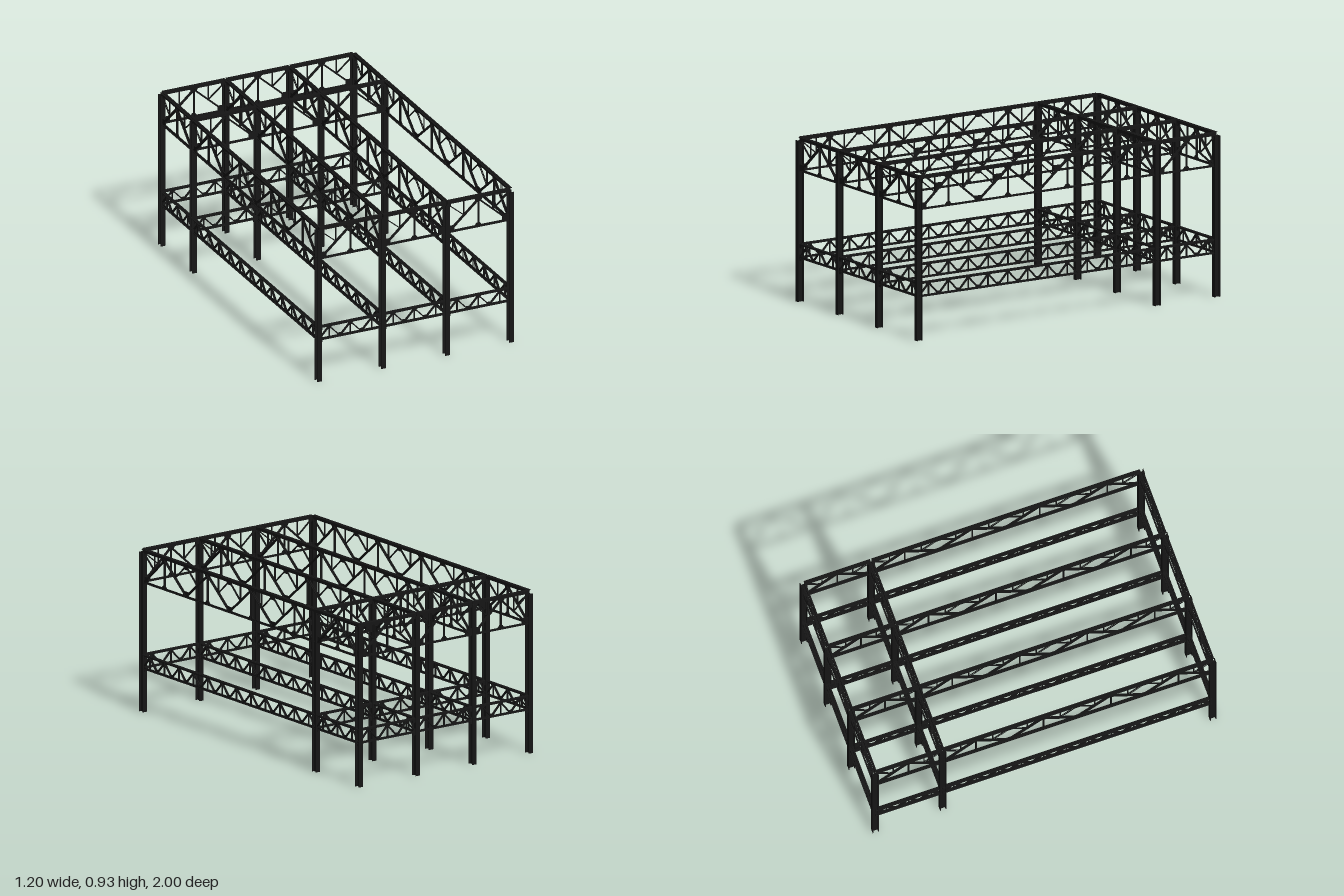
import * as THREE from 'three';
import { mergeGeometries } from 'three/addons/utils/BufferGeometryUtils.js';

const steel = new THREE.MeshStandardMaterial({ color: 0x161616 });
const COLUMN_X = [-0.585, -0.195, 0.195, 0.585];
const COLUMN_Z = [0.9815, -0.5885, -0.981];
const COLUMN_H = 0.906;
const GAP = 0.003; // slot between paired angles, filled by the gusset plates

const polygon = (pts) => new THREE.Shape(pts.map(([x, y]) => new THREE.Vector2(x, y)));
const extrude = (shapes, depth) =>
  new THREE.ExtrudeGeometry(shapes, { depth, bevelEnabled: false, steps: 1 });

// Pair of back-to-back angles running from a to b in the truss plane
function member(a, b, height, width) {
  const t = 0.0025, g = GAP / 2, h = height / 2, w = width / 2;
  const right = [[g, -h], [g + t, -h], [g + t, h - t], [w, h - t], [w, h], [g, h]];
  const left = right.map(([x, y]) => [-x, y]).reverse();
  const dir = new THREE.Vector3(b[0] - a[0], b[1] - a[1], 0);
  const geo = extrude([polygon(right), polygon(left)], dir.length());
  dir.normalize();
  const side = new THREE.Vector3(0, 0, 1);
  const basis = new THREE.Matrix4().makeBasis(side, dir.clone().cross(side), dir);
  return geo.applyMatrix4(basis.setPosition(a[0], a[1], 0));
}

// Flat gusset plate, tapering from its bottom width to its top width
function plate(x, y0, y1, bottom, top) {
  const pts = [[x - bottom / 2, y0], [x + bottom / 2, y0], [x + top / 2, y1], [x - top / 2, y1]];
  return extrude(polygon(pts), 0.006).translate(0, 0, -0.003);
}

// Deep roof truss: one inverted V per bay with secondary struts
function roofTruss(bays, pitch) {
  const length = bays * pitch, parts = [];
  parts.push(member([length - 0.004, 0.915], [0.004, 0.915], 0.02, 0.024)); // top chord
  parts.push(member([0.01, 0.738], [length - 0.01, 0.738], 0.009, 0.02)); // bottom chord
  for (let i = 0; i < bays; i++) {
    const mid = (i + 0.5) * pitch;
    parts.push(member([mid, 0.738], [mid, 0.906], 0.007, 0.014));
    parts.push(plate(mid, 0.889, 0.907, 0.03, 0.052));
    parts.push(plate(mid, 0.736, 0.757, 0.052, 0.018));
    for (const s of [-1, 1]) {
      const atColumn = s < 0 ? i === 0 : i === bays - 1;
      const foot = mid + s * (pitch / 2 - (atColumn ? 0.018 : 0.004));
      const quarter = (mid + foot) / 2;
      parts.push(member([foot, 0.742], [mid, 0.9], 0.009, 0.016));
      parts.push(member([quarter, 0.821], [quarter, 0.906], 0.005, 0.01));
      parts.push(member([quarter, 0.821], [mid + s * (pitch / 2 - 0.012), 0.9], 0.005, 0.01));
    }
  }
  for (let i = 0; i <= bays; i++) {
    const x = i * pitch;
    if (i === 0 || i === bays) {
      const s = i === 0 ? 1 : -1; // plates bolted to the columns
      parts.push(plate(x + s * 0.026, 0.733, 0.771, 0.046, 0.046));
      parts.push(plate(x + s * 0.015, 0.89, 0.906, 0.024, 0.024));
    } else {
      parts.push(plate(x, 0.733, 0.766, 0.046, 0.046));
      parts.push(plate(x, 0.89, 0.906, 0.03, 0.044));
    }
  }
  return mergeGeometries(parts);
}

// Shallow floor truss: three small panels per bay
function floorTruss(bays, pitch) {
  const length = bays * pitch, panels = bays * 3, step = length / panels, parts = [];
  parts.push(member([length - 0.004, 0.321], [0.004, 0.321], 0.012, 0.022)); // top chord
  parts.push(member([0.004, 0.249], [length - 0.004, 0.249], 0.01, 0.02)); // bottom chord
  for (let i = 0; i < panels; i++) {
    const mid = (i + 0.5) * step;
    for (const s of [-1, 1]) {
      parts.push(member([mid + s * (step / 2 - 0.003), 0.251], [mid, 0.317], 0.007, 0.014));
    }
    parts.push(member([mid, 0.25], [mid, 0.317], 0.005, 0.01));
    parts.push(plate(mid, 0.302, 0.318, 0.022, 0.03));
    if (i > 0) parts.push(plate(i * step, 0.247, 0.264, 0.03, 0.016));
  }
  for (const [x, s] of [[0, 1], [length, -1]]) {
    parts.push(plate(x + s * 0.012, 0.229, 0.264, 0.022, 0.022));
    parts.push(plate(x + s * 0.012, 0.3, 0.32, 0.022, 0.022));
  }
  return mergeGeometries(parts);
}

// H-section column, flanges facing front and back
function columnGeometry() {
  const w = 0.014, d = 0.018, f = 0.004, k = 0.002;
  const pts = [[-w, -d], [w, -d], [w, -d + f], [k, -d + f], [k, d - f], [w, d - f],
    [w, d], [-w, d], [-w, d - f], [-k, d - f], [-k, -d + f], [-w, -d + f]];
  return extrude(polygon(pts), COLUMN_H).rotateX(-Math.PI / 2);
}

export function createModel() {
  const model = new THREE.Group();
  model.name = 'steelFrame';
  const groups = {};
  for (const name of ['columns', 'roofTrusses', 'floorTrusses']) {
    groups[name] = new THREE.Group();
    groups[name].name = name;
    model.add(groups[name]);
  }
  const add = (group, name, geo, x, z, turn = 0) => {
    const mesh = new THREE.Mesh(geo, steel);
    mesh.name = name;
    mesh.position.set(x, 0, z);
    mesh.rotation.y = turn;
    groups[group].add(mesh);
  };

  // Columns
  const column = columnGeometry();
  for (const x of COLUMN_X) for (const z of COLUMN_Z) add('columns', 'column', column, x, z);

  // Trusses across the width
  const crossRoof = roofTruss(1, 0.39), crossFloor = floorTruss(1, 0.39);
  for (const z of COLUMN_Z) {
    for (const x of COLUMN_X.slice(0, 3)) {
      add('roofTrusses', 'crossRoofTruss', crossRoof, x, z);
      add('floorTrusses', 'crossFloorTruss', crossFloor, x, z);
    }
  }

  // Trusses along the depth: a long four-bay span and a short one behind it
  [4, 1].forEach((bays, i) => {
    const pitch = (COLUMN_Z[i] - COLUMN_Z[i + 1]) / bays;
    const roof = roofTruss(bays, pitch), floor = floorTruss(bays, pitch);
    for (const x of COLUMN_X) {
      add('roofTrusses', 'lengthwiseRoofTruss', roof, x, COLUMN_Z[i], Math.PI / 2);
      add('floorTrusses', 'lengthwiseFloorTruss', floor, x, COLUMN_Z[i], Math.PI / 2);
    }
  });
  return model;
}
